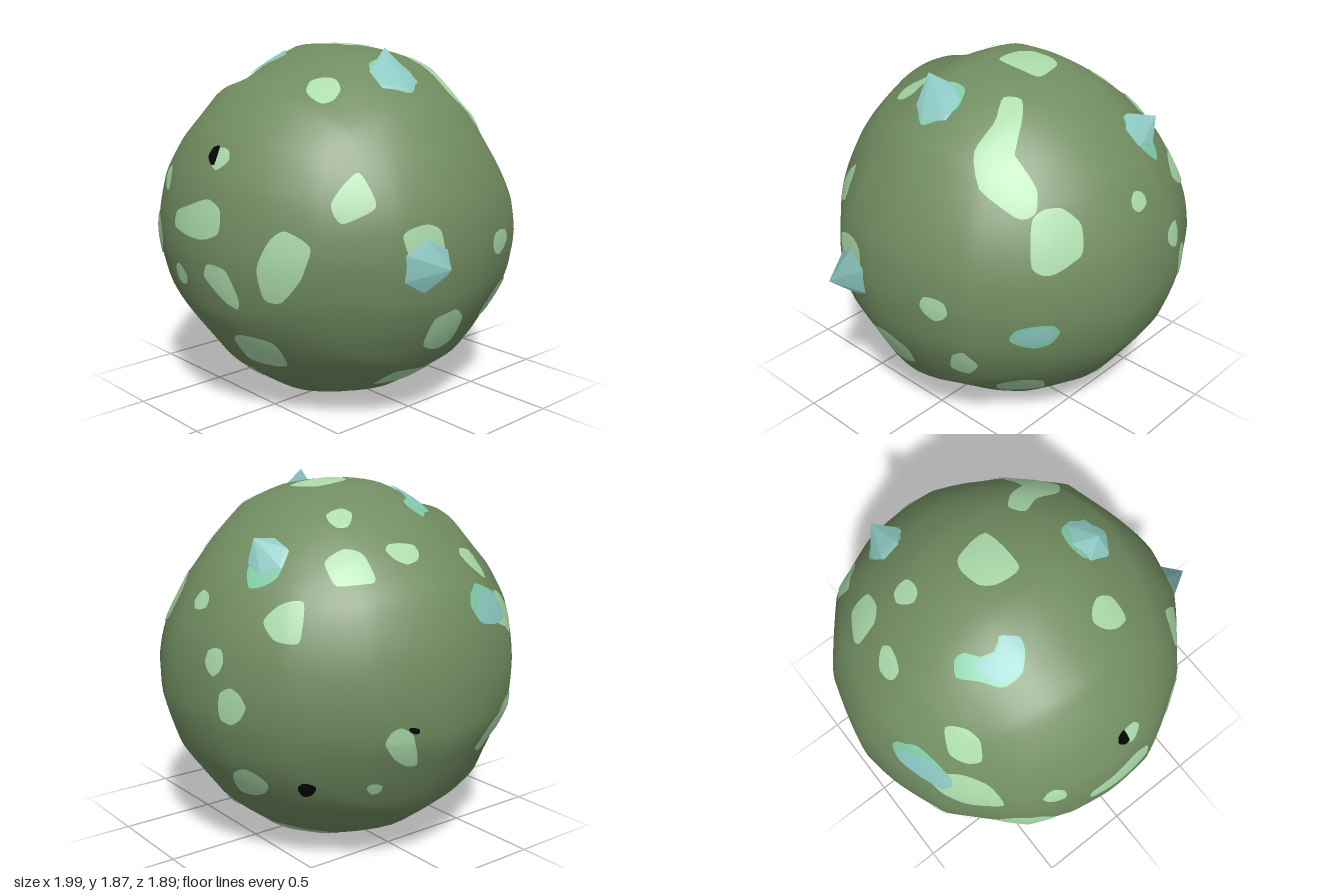
import * as THREE from 'three';
import { mergeVertices } from 'three/addons/utils/BufferGeometryUtils.js';

const V = (x, y, z) => new THREE.Vector3(x, y, z);
const CENTRE = V(-0.05, 0.935, 0);

// Three outlines of the lumpy boulder: (x,y), (z,y) and (x,z)
const outlineXY = [[-.23, 1.87], [.2, 1.85], [.33, 1.8], [.6, 1.6], [.86, 1.12], [.88, .9], [.86, .66], [.68, .3], [.33, .06], [.07, 0], [-.25, 0],
  [-.53, .1], [-.8, .31], [-.88, .55], [-1, .71], [-.95, 1.17], [-.89, 1.41], [-.7, 1.61], [-.5, 1.73]];
const outlineZY = [[.12, 1.87], [-.18, 1.85], [-.38, 1.8], [-.6, 1.62], [-.75, 1.45], [-.89, 1.15], [-.95, .8], [-.87, .55], [-.66, .25], [-.45, .08],
  [-.25, 0], [.06, 0], [.37, .04], [.63, .23], [.9, .6], [.95, .88], [.91, 1.27], [.8, 1.47], [.6, 1.7], [.43, 1.73]];
const outlineXZ = [[-.31, -.93], [.12, -.95], [.5, -.77], [.79, -.48], [.89, .1], [.82, .38], [.55, .7], [.15, .94], [-.11, .95], [-.33, .92],
  [-.55, .83], [-.86, .5], [-.95, .2], [-1, -.03], [-.9, -.42], [-.64, -.76]];
const shift = (pts, a, b) => pts.map(([u, v]) => [u - a, v - b]);
const rings = [shift(outlineXY, -.05, .935), shift(outlineZY, 0, .935), shift(outlineXZ, -.05, 0)];

// Shallow dents: direction and depth
const dents = [[V(-.65, .6, -.1), .035], [V(-.6, .55, .45), .04], [V(.3, .75, .42), .025], [V(.5, .42, -.68), .025], [V(.55, -.66, -.5), .025]]
  .map(([d, depth]) => [d.normalize(), depth]);

// Distance from the middle to a closed outline along (dx, dy)
function reach(ring, dx, dy) {
  const l = Math.hypot(dx, dy);
  if (l < 1e-6) return 0.93;
  dx /= l; dy /= l;
  for (let i = 0; i < ring.length; i++) {
    const [px, py] = ring[i], [qx, qy] = ring[(i + 1) % ring.length];
    const a = px * dy - py * dx, b = qx * dy - qy * dx;
    if (a * b <= 0 && a !== b) {
      const t = a / (a - b), r = (px + (qx - px) * t) * dx + (py + (qy - py) * t) * dy;
      if (r > 0) return r;
    }
  }
  return 0.93;
}

// Body radius in a direction, blended softly from the three outlines
function radius(d) {
  const w = [d.z, d.x, d.y].map(c => Math.pow(Math.max(1 - c * c, 0), 4) + 1e-5);
  const r = [reach(rings[0], d.x, d.y), reach(rings[1], d.z, d.y), reach(rings[2], d.x, d.z)];
  let out = (w[0] * r[0] + w[1] * r[1] + w[2] * r[2]) / (w[0] + w[1] + w[2]);
  out -= 0.075 * Math.abs(d.x * d.y * d.z);
  for (const [dir, depth] of dents) out -= depth * Math.exp((d.dot(dir) - 1) * 22);
  return out;
}

// Soft, rounded shading: normals leaning outward from the middle
function roundNormals(g, amount) {
  g.computeVertexNormals();
  const p = g.attributes.position, n = g.attributes.normal;
  for (let i = 0; i < p.count; i++) {
    const out = V().fromBufferAttribute(p, i).sub(CENTRE).normalize();
    const m = V().fromBufferAttribute(n, i).lerp(out, amount).normalize();
    n.setXYZ(i, m.x, m.y, m.z);
  }
  return g;
}

// Projection frames used to lay patches on the body
function frame(az, el) {
  const a = az * Math.PI / 180, e = el * Math.PI / 180;
  return {
    R: V(Math.cos(a), 0, -Math.sin(a)),
    U: V(-Math.sin(a) * Math.sin(e), Math.cos(e), -Math.cos(a) * Math.sin(e)),
    T: V(Math.sin(a) * Math.cos(e), Math.sin(e), Math.cos(a) * Math.cos(e)), o: [0, 0]
  };
}
const front = { R: V(1, 0, 0), U: V(0, 1, 0), T: V(0, 0, 1), o: [-.05, .935] };
const side = { R: V(0, 0, 1), U: V(0, 1, 0), T: V(1, 0, 0), o: [0, .935] };
const top = { R: V(1, 0, 0), U: V(0, 0, 1), T: V(0, 1, 0), o: [-.05, 0] };
const backLeft = frame(215, 25), backRight = frame(140, -29);

function onBody(f, u, v, lift) {
  let r = 0.93, d;
  for (let i = 0; i < 5; i++) {
    const w = Math.sqrt(Math.max(r * r - u * u - v * v, 0.002));
    d = V(0, 0, 0).addScaledVector(f.R, u).addScaledVector(f.U, v).addScaledVector(f.T, w).normalize();
    r = radius(d);
  }
  return d.multiplyScalar(r + lift).add(CENTRE);
}

// Thin patch draped over the body from an outline
function patchGeometry(f, pts, lift) {
  const p = pts.map(([u, v]) => V(u - f.o[0], v - f.o[1], 0));
  const S = 36, N = 7;
  const loop = new THREE.CatmullRomCurve3(p, true, 'catmullrom', 0.35).getPoints(S).slice(0, S);
  const c = V(0, 0, 0);
  loop.forEach(q => c.addScaledVector(q, 1 / S));
  let area = 0;
  loop.forEach((q, i) => { const n = loop[(i + 1) % S]; area += q.x * n.y - q.y * n.x; });
  if (area * f.R.clone().cross(f.U).dot(f.T) < 0) loop.reverse();
  const pos = [...onBody(f, c.x, c.y, lift).toArray()], idx = [];
  for (let k = 1; k <= N; k++) for (const q of loop) {
    const m = c.clone().lerp(q, k / N);
    pos.push(...onBody(f, m.x, m.y, lift).toArray());
  }
  for (let i = 0; i < S; i++) {
    const j = (i + 1) % S;
    idx.push(0, 1 + i, 1 + j);
    for (let k = 0; k < N - 1; k++) {
      const a = 1 + k * S, b = a + S;
      idx.push(a + i, b + i, b + j, a + i, b + j, a + j);
    }
  }
  const g = new THREE.BufferGeometry();
  g.setAttribute('position', new THREE.Float32BufferAttribute(pos, 3));
  g.setIndex(idx);
  return roundNormals(g, 0.7);
}

// Slightly uneven oval outline
function oval([u, v, w, h, deg = 0]) {
  const a = deg * Math.PI / 180;
  return Array.from({ length: 8 }, (_, i) => {
    const t = i * Math.PI / 4, k = 1 + 0.08 * Math.sin(i * 2.3 + u * 20);
    const x = w * k * Math.cos(t), y = h * k * Math.sin(t);
    return [u + x * Math.cos(a) - y * Math.sin(a), v + x * Math.sin(a) + y * Math.cos(a)];
  });
}

// Six-sided leaning spike with a short buried root
function crystalGeometry(base, tip, r) {
  const axis = base.clone().sub(CENTRE).normalize();
  const e1 = V(0, 1, 0).cross(axis).normalize(), e2 = axis.clone().cross(e1), pos = [];
  const corner = (i, drop) => base.clone().addScaledVector(e1, r * Math.cos(i * Math.PI / 3 + Math.PI / 6))
    .addScaledVector(e2, r * Math.sin(i * Math.PI / 3 + Math.PI / 6)).addScaledVector(axis, -drop);
  for (let i = 0; i < 6; i++) {
    const a = corner(i, 0), b = corner(i + 1, 0), c = corner(i, .08), d = corner(i + 1, .08);
    [a, b, tip, c, d, b, c, b, a].forEach(p => pos.push(p.x, p.y, p.z));
  }
  const g = new THREE.BufferGeometry();
  g.setAttribute('position', new THREE.Float32BufferAttribute(pos, 3));
  return roundNormals(g, 0.7);
}

export function createModel() {
  const model = new THREE.Group();
  const mat = (name, color) => new THREE.MeshStandardMaterial({ name, color });
  const moss = mat('moss green', 0x718d61), pale = mat('pale green', 0xabdbab), teal = mat('teal', 0x8cc8c2);
  const mint = mat('mint', 0x80cca6), black = mat('black', 0x050505);
  const add = (name, geo, m) => {
    const mesh = new THREE.Mesh(geo, m);
    mesh.name = name;
    model.add(mesh);
  };

  // Boulder body
  let body = new THREE.IcosahedronGeometry(1, 28);
  body.deleteAttribute('uv');
  body.deleteAttribute('normal');
  body = mergeVertices(body, 1e-4);
  const bp = body.attributes.position;
  for (let i = 0; i < bp.count; i++) {
    const d = V().fromBufferAttribute(bp, i).normalize();
    d.multiplyScalar(radius(d)).add(CENTRE);
    bp.setXYZ(i, d.x, Math.max(d.y, 0), d.z);
  }
  add('body', roundNormals(body, 0.7), moss);

  // Pale spots: small ovals, then larger outlined ones
  const spots = (f, ovals, shapes) => [...ovals.map(oval), ...shapes].forEach(s => add('spot', patchGeometry(f, s, 0.005), pale));
  spots(front, [[-.4, 1.21, .055, .06], [.05, 1.37, .055, .05], [-.73, .76, .045, .05], [-.2, .76, .06, .055],
    [-.05, .2, .075, .035, 25]], [
    [[-.22, 1.08], [-.22, 1], [0, .98], [.13, 1.03], [.13, 1.14], [.04, 1.18], [-.1, 1.13]],
    [[-.83, 1.17], [-.75, 1.09], [-.62, 1.14], [-.63, 1.28], [-.72, 1.32], [-.83, 1.27]],
    [[-.67, .9], [-.58, 1.01], [-.5, 1], [-.42, .9], [-.5, .8], [-.58, .77]],
    [[.02, .8], [.06, .87], [.17, .86], [.21, .72], [.19, .66], [.1, .72]],
    [[.32, .88], [.37, 1.02], [.43, 1.07], [.54, 1], [.5, .85], [.4, .72], [.33, .73]],
    [[.57, 1.2], [.6, 1.33], [.68, 1.23], [.7, 1.17], [.62, 1.11]],
    [[.04, .33], [.05, .45], [.13, .5], [.27, .47], [.26, .33], [.15, .31]],
    [[-.89, .7], [-.85, .82], [-.8, .65], [-.79, .53], [-.83, .56]]]);
  spots(side, [[-.31, .91, .075, .065]], [
    [[.37, 1.05], [.25, 1.09], [.17, 1.05], [.16, .88], [.3, .86]],
    [[.2, .17], [.2, .28], [.05, .28], [-.06, .26], [-.07, .18], [.05, .16]],
    [[.15, .45], [.15, .6], [.03, .63], [-.07, .55], [-.06, .43], [.05, .4]],
    [[-.3, .5], [-.36, .63], [-.44, .68], [-.46, .58], [-.38, .48]]]);
  spots(top, [[-.43, -.27, .055, .065], [-.68, -.09, .045, .085, 18], [.26, .38, .085, .08]], [
    [[-.7, .4], [-.65, .31], [-.58, .38], [-.56, .46], [-.6, .52], [-.66, .48]],
    [[-.19, -.15], [-.15, -.22], [.02, -.24], [.03, 0], [-.1, .01], [-.17, -.04]],
    [[-.73, -.33], [-.65, -.46], [-.55, -.45], [-.56, -.35], [-.62, -.29], [-.72, -.29]],
    [[.27, -.74], [.32, -.79], [.47, -.74], [.53, -.67], [.45, -.6], [.33, -.66]],
    [[.2, -.3], [.27, -.37], [.39, -.43], [.41, -.47], [.38, -.56], [.43, -.6], [.5, -.55], [.57, -.38], [.5, -.28], [.36, -.28], [.25, -.23]]]);
  spots(backLeft, [[-.456, .067, .05, .05], [-.32, -.23, .055, .065], [-.22, -.43, .075, .08], [-.19, -.755, .1, .055],
    [.41, -.71, .035, .02, 30], [.55, -.51, .06, .08]], [
    [[-.08, -.04], [-.01, .04], [.1, .06], [.105, -.125], [-.01, -.125]]]);
  spots(backRight, [[-.17, -.68, .06, .05], [.405, -.355, .04, .035]], [
    [[-.15, -.22], [-.1, -.14], [-.02, -.11], [.08, -.15], [.1, -.3], [-.02, -.35], [-.13, -.34]],
    [[.23, -.64], [.25, -.55], [.43, -.54], [.5, -.63], [.42, -.77], [.24, -.77]]]);

  // Dark pits
  add('pit', patchGeometry(front, [[.02, 1.42], [-.02, 1.41], [-.03, 1.37], [0, 1.34], [.03, 1.34]], 0.007), black);
  [[.11, -.755, .045, .027, 20], [.6, -.43, .022, .014]].forEach(o => add('pit', patchGeometry(backLeft, oval(o), 0.007), black));

  // Mint rims and the flat faces of buried crystals
  [[top, [[-.49, .2], [-.45, .14], [-.4, .15], [-.38, .2], [-.27, .24], [-.25, .21], [-.17, .25], [-.18, .31], [-.25, .38], [-.35, .37], [-.42, .28]],
    [[-.41, .21], [-.33, .23], [-.27, .24], [-.24, .2], [-.17, .26], [-.19, .31], [-.25, .37], [-.35, .35]]],
  [front, oval([-.82, 1.285, .065, .105, -15]), oval([-.82, 1.265, .06, .085, -25])],
  [backRight, oval([0, .325, .12, .07, 10]), oval([0, .33, .095, .05, 10])]].forEach(([f, rim, core]) => {
    add('crystalRim', patchGeometry(f, rim, 0.007), mint);
    add('buriedCrystal', patchGeometry(f, core, 0.009), teal);
  });
  [[.4, .04, .115, .115], [-.33, -.625, .09, .09]].forEach(o => add('crystalRim', patchGeometry(top, oval(o), 0.006), mint));

  // Pointed crystals: base centre, tip, base radius
  [[V(.84, .89, .25), V(1, .905, .25), .135],
    [V(.41, 1.735, .045), V(.41, 1.875, .11), .125],
    [V(-.33, 1.56, -.62), V(-.34, 1.65, -.7), .1]].forEach(([base, tip, r]) => add('crystal', crystalGeometry(base, tip, r), teal));
  return model;
}
